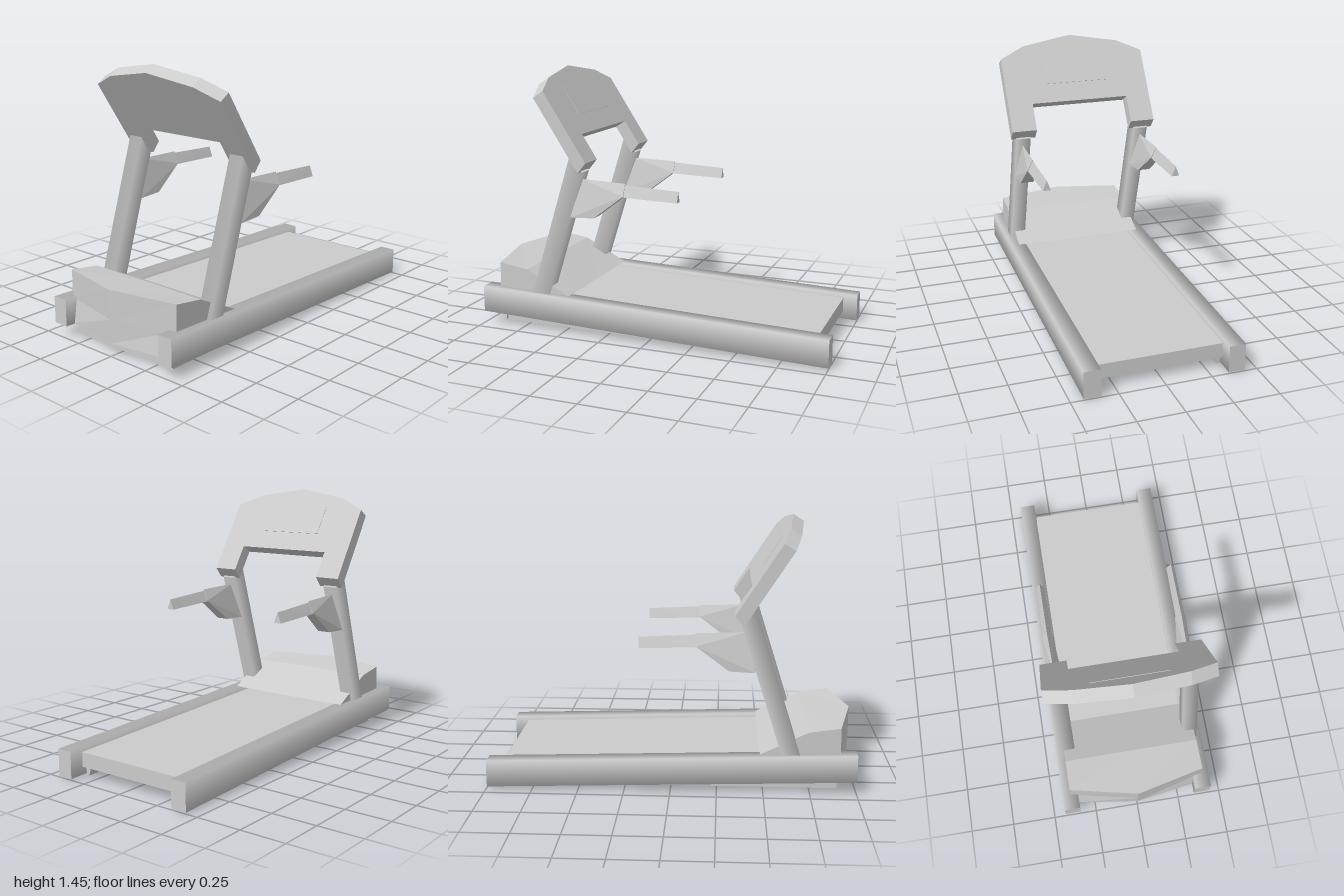
import * as THREE from 'three';
import { ConvexGeometry } from 'three/addons/geometries/ConvexGeometry.js';

const material = new THREE.MeshStandardMaterial({ color: 0xcccccc, side: THREE.DoubleSide });

function add(parent, name, geometry) {
  const mesh = new THREE.Mesh(geometry, material);
  mesh.name = name;
  parent.add(mesh);
}

// Move every vertex by a rule.
function reshape(geometry, rule) {
  const p = geometry.attributes.position;
  const v = new THREE.Vector3();
  for (let i = 0; i < p.count; i++) {
    rule(v.fromBufferAttribute(p, i));
    p.setXYZ(i, v.x, v.y, v.z);
  }
  return geometry;
}

const hull = (points) => new ConvexGeometry(points.map((p) => new THREE.Vector3(...p)));

// Flat-shaded skin over rows of points running from -x to +x
function skin(rows) {
  const pos = [];
  for (let r = 0; r < rows.length - 1; r++) {
    for (let c = 0; c < rows[r].length - 1; c++) {
      const [a, b, d, e] = [rows[r][c], rows[r][c + 1], rows[r + 1][c + 1], rows[r + 1][c]];
      pos.push(...a, ...b, ...d, ...a, ...d, ...e);
    }
  }
  const g = new THREE.BufferGeometry();
  g.setAttribute('position', new THREE.Float32BufferAttribute(pos, 3));
  g.computeVertexNormals();
  return g;
}

// The running base drops gently from front to back.
const baseY = (z) => 0.112 + 0.0315 * z;
const slope = (geometry) => reshape(geometry, (v) => { v.y += baseY(v.z); });

// Unit four-sided bar with softly shaded sides
const softBar = () => new THREE.CylinderGeometry(Math.SQRT1_2, Math.SQRT1_2, 1, 4).rotateY(Math.PI / 4);

const railGeometry = (x) =>
  slope(softBar().rotateX(Math.PI / 2).scale(0.09, 0.148, 2).translate(x, 0, 0));

// Leaning post whose top is cut to meet the console
const postGeometry = (x) => reshape(softBar(), (v) => {
  const y = v.y > 0 ? 0.965 + v.z * 0.1 : 0.19;
  v.set(x + v.x * 0.085, y, 0.648 - 0.315 * (y - 0.2) + v.z * 0.1);
});

export function createModel() {
  const model = new THREE.Group();
  model.name = 'treadmill';

  // Thin running deck between the rails, closed by a plate at the back
  add(model, 'runningDeck', slope(new THREE.BoxGeometry(0.68, 0.025, 1.47).translate(0, 0.0375, -0.185)));
  add(model, 'backPlate', slope(new THREE.BoxGeometry(0.68, 0.08, 0.03).translate(0, 0.01, -0.905)));

  // Hollow motor cover, open below: half width, side y, side z, centre y, centre z
  const profile = [
    [0.343, 0, 0.91, 0, 0.91],
    [0.343, 0.07, 0.91, 0.07, 0.91],
    [0.343, 0.07, 0.945, 0.07, 0.995],
    [0.343, 0.2, 0.923, 0.2, 0.996],
    [0.385, 0.2, 0.914, 0.2, 0.996],
    [0.385, 0.355, 0.912, 0.36, 0.997],
    [0.385, 0.33, 0.74, 0.333, 0.74],
    [0.385, 0.2, 0.48, 0.2, 0.48],
  ];
  add(model, 'motorCover', skin(profile.map(([w, y, z, cy, cz]) => [[-w, y, z], [0, cy, cz], [w, y, z]])));
  const cheek = new THREE.Shape(profile.slice(4).map(([, y, z]) => new THREE.Vector2(-z, y)));

  // Mirrored side parts
  for (const [s, side] of [[1, 'left'], [-1, 'right']]) {
    add(model, side + 'CoverCheek', new THREE.ShapeGeometry(cheek).rotateY(Math.PI / 2).translate(s * 0.385, 0, 0));
    add(model, side + 'Rail', railGeometry(s * 0.387));
    add(model, side + 'Post', postGeometry(s * 0.363));

    // Lower skirt, widening upwards under the deck
    const skirt = [];
    for (const z of [-0.89, 0.9]) {
      skirt.push([s * 0.343, 0, z], [s * 0.322, 0, z], [s * 0.29, 0.118, z], [s * 0.343, 0.122, z]);
    }
    add(model, side + 'Skirt', hull(skirt));

    // Ridged bracket behind the post
    const x = s * 0.373;
    const bracket = [[s * 0.365, 0.872, 0.4], [x, 0.865, 0.135]];
    for (const w of [-1, 1]) {
      bracket.push([s * 0.364 + w * 0.04, 0.66, 0.45], [s * 0.366 + w * 0.038, 0.667, 0.31],
        [x + w * 0.03, 0.8, 0.135]);
    }
    add(model, side + 'ArmBracket', hull(bracket));

    // Tapered three-sided handle
    const handle = [[x, 0.858, 0.15], [x, 0.843, -0.168]];
    for (const w of [-1, 1]) {
      handle.push([x + w * 0.026, 0.795, 0.15], [x + w * 0.022, 0.785, -0.168]);
    }
    add(model, side + 'Handle', hull(handle));
  }

  // Console: notched slab tilted forward, with the arm ends cut back behind
  const half = [[0.29, 0.183], [0.29, 0], [0.435, 0], [0.435, 0.47], [0.29, 0.542], [0, 0.596]];
  const outline = [...half, ...half.slice(0, -1).reverse().map(([x, v]) => [-x, v])];
  const slab = new THREE.Shape(outline.map(([x, v]) => new THREE.Vector2(x, v)));
  const body = reshape(new THREE.ExtrudeGeometry(slab, { depth: 0.07, bevelEnabled: false }), (v) => {
    if (v.y < 0.01 && v.z < 0.01) v.y = 0.022;
  });
  body.computeVertexNormals();

  const consoleGroup = new THREE.Group();
  consoleGroup.name = 'console';
  const right = new THREE.Vector3(1, 0, 0);
  const up = new THREE.Vector3(0, 0.5, 0.325).normalize();
  const out = new THREE.Vector3().crossVectors(right, up);
  consoleGroup.applyMatrix4(new THREE.Matrix4().makeBasis(right, up, out).setPosition(0, 0.953, 0.326));
  add(consoleGroup, 'consoleBody', body);
  // Display panel facing the runner
  add(consoleGroup, 'displayPanel', new THREE.BoxGeometry(0.4, 0.18, 0.005).translate(0, 0.388, 0));
  model.add(consoleGroup);

  return model;
}
